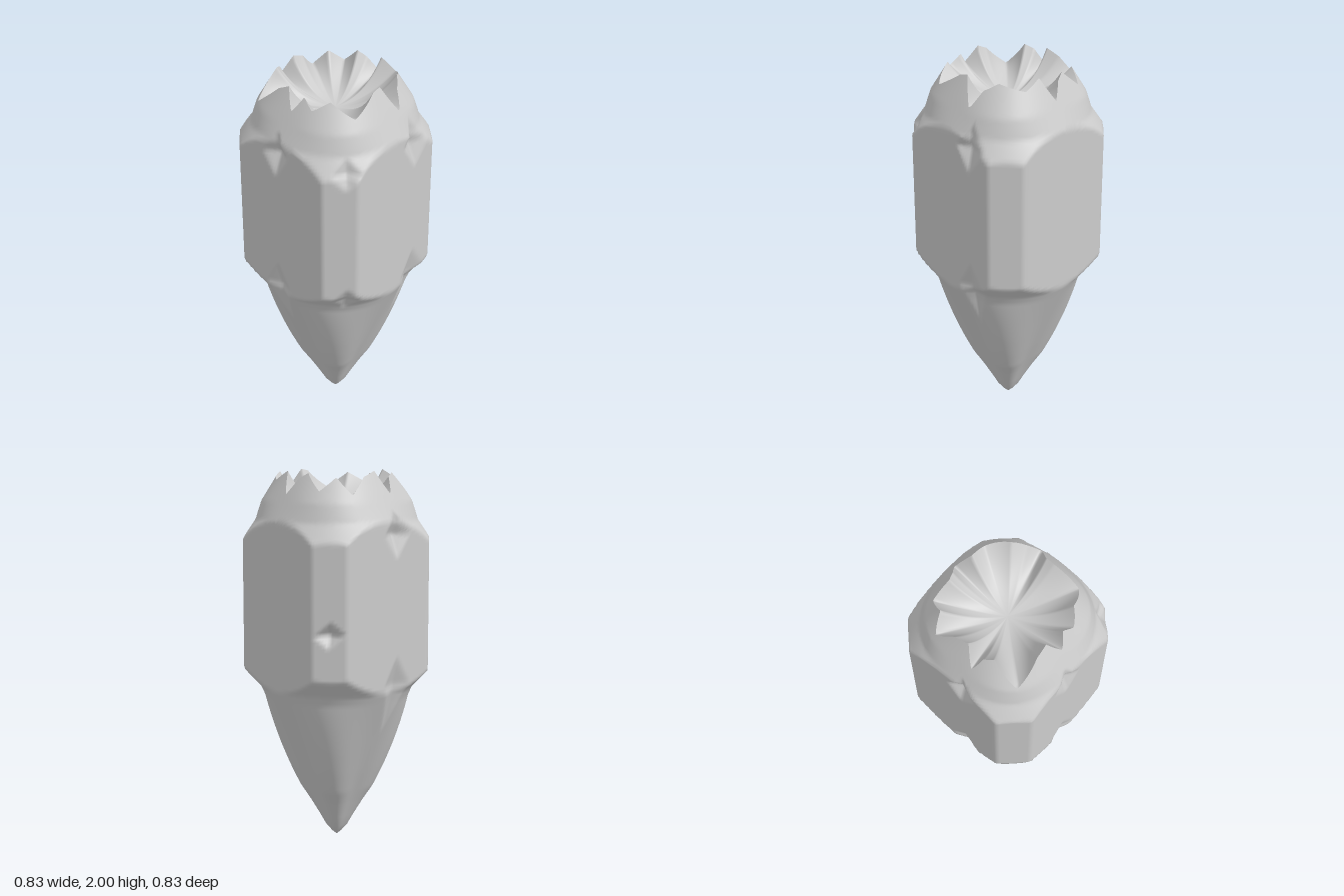
import * as THREE from 'three';

const COLS = 216, TAU = Math.PI * 2, D = Math.PI / 180;

// piecewise linear lookup through [x, value] pairs
function lerpTable(t, x) {
  if (x <= t[0][0]) return t[0][1];
  for (let i = 1; i < t.length; i++) {
    if (x <= t[i][0]) {
      const k = (x - t[i - 1][0]) / (t[i][0] - t[i - 1][0]);
      return t[i - 1][1] + k * (t[i][1] - t[i - 1][1]);
    }
  }
  return t[t.length - 1][1];
}

// pointed tip and sloping shoulder: [height, radius]
const PROFILE = [[0, 0], [0.02, 0.022], [0.06, 0.052], [0.2, 0.115], [0.4, 0.208], [0.62, 0.308],
  [0.85, 0.413], [0.95, 0.51], [1.63, 0.51], [1.74, 0.413], [1.88, 0.345], [2, 0.285]];

// how much the diagonals swell, squaring the tip and shoulder: [height, amount]
const SWELL = [[0, 0.1], [0.12, 0.18], [0.28, 0.29], [0.52, 0.16], [0.8, 0], [1.65, 0], [1.84, 0.1], [2, 0.06]];

// jagged rim: [degrees, height]
const RIM = [[0, 1.88], [12, 2], [28, 1.95], [52, 1.99], [66, 1.95], [76, 1.86], [88, 2], [98, 1.99],
  [122, 1.9], [142, 1.98], [158, 1.93], [168, 1.98], [178, 1.9], [190, 2], [202, 1.97], [222, 1.85],
  [240, 1.99], [250, 1.97], [258, 1.88], [268, 2], [284, 1.97], [298, 1.88], [311, 1.97], [325, 1.9],
  [340, 1.99], [350, 1.96], [360, 1.88]];

// chipped nicks: degrees, height, half angle, half height up / down, depth
const NICKS = [
  [70, 1.68, 12, 0.12, 0.13, 0.05], [70, 0.89, 12, 0.15, 0.27, 0.04],
  [262, 1.68, 12, 0.12, 0.13, 0.05], [262, 0.89, 12, 0.15, 0.27, 0.04],
  [184, 1.68, 12, 0.12, 0.13, 0.05], [184, 0.89, 12, 0.15, 0.27, 0.04],
  [131, 1.66, 10, 0.08, 0.08, 0.04], [131, 0.92, 10, 0.08, 0.09, 0.04],
  [315, 1.18, 9, 0.065, 0.065, 0.06],
];

// square section with chamfered corners, trimmed by the profile and the nicks
function radius(a, y) {
  const c = Math.abs(Math.cos(a)), s = Math.abs(Math.sin(a));
  const taper = lerpTable(PROFILE, y) * (1 + lerpTable(SWELL, y) * Math.sin(2 * a) ** 2);
  let r = Math.min(0.413 / Math.max(c, s), 0.698 / (c + s), taper);
  for (const [deg, h, w, up, down, depth] of NICKS) {
    const da = Math.abs(a / D - deg) / w;
    const dy = y > h ? (y - h) / up : (h - y) / down;
    r -= depth * Math.max(0, 1 - da - dy);
  }
  return r;
}

// closed rings joined into a smooth skin; point(angle, row) gives [radius, height]
function skin(name, rows, point, material) {
  const pos = [], index = [];
  for (let j = 0; j < rows; j++) {
    for (let i = 0; i < COLS; i++) {
      const a = i / COLS * TAU, [r, y] = point(a, j);
      pos.push(r * Math.cos(a), y, r * Math.sin(a));
      if (j < rows - 1) {
        const n = (i + 1) % COLS, p = j * COLS + i, q = j * COLS + n;
        index.push(p, p + COLS, q, q, p + COLS, q + COLS);
      }
    }
  }
  const g = new THREE.BufferGeometry();
  g.setAttribute('position', new THREE.Float32BufferAttribute(pos, 3));
  g.setIndex(index);
  g.computeVertexNormals();
  const mesh = new THREE.Mesh(g, material);
  mesh.name = name;
  return mesh;
}

export function createModel() {
  const group = new THREE.Group();
  group.name = 'brokenPost';
  const material = new THREE.MeshStandardMaterial({ color: 0xcccccc, roughness: 0.9 });
  const rimHeight = a => lerpTable(RIM, a / D);

  // post: pointed tip, chamfered shaft and shoulder up to the splintered rim
  const heights = [0, 0.02, 0.06, 0.12];
  for (let y = 0.2; y < 1.5; y += 0.0175) heights.push(y);
  const shoulderRows = 30;
  group.add(skin('post', heights.length + shoulderRows, (a, j) => {
    const k = (j - heights.length) / (shoulderRows - 1);
    const y = k < 0 ? heights[j] : 1.51 + k * (rimHeight(a) - 1.51);
    return [radius(a, y), y];
  }, material));

  // hollow: bowl whose splinters fade quickly into a smooth middle
  const bowlRows = 20, floor = 1.8, middle = 1.94;
  group.add(skin('hollow', bowlRows, (a, j) => {
    const s = 1 - j / (bowlRows - 1), top = rimHeight(a);
    return [radius(a, top) * s, floor + (middle - floor) * s ** 2 + (top - middle) * s ** 4];
  }, material));

  return group;
}
